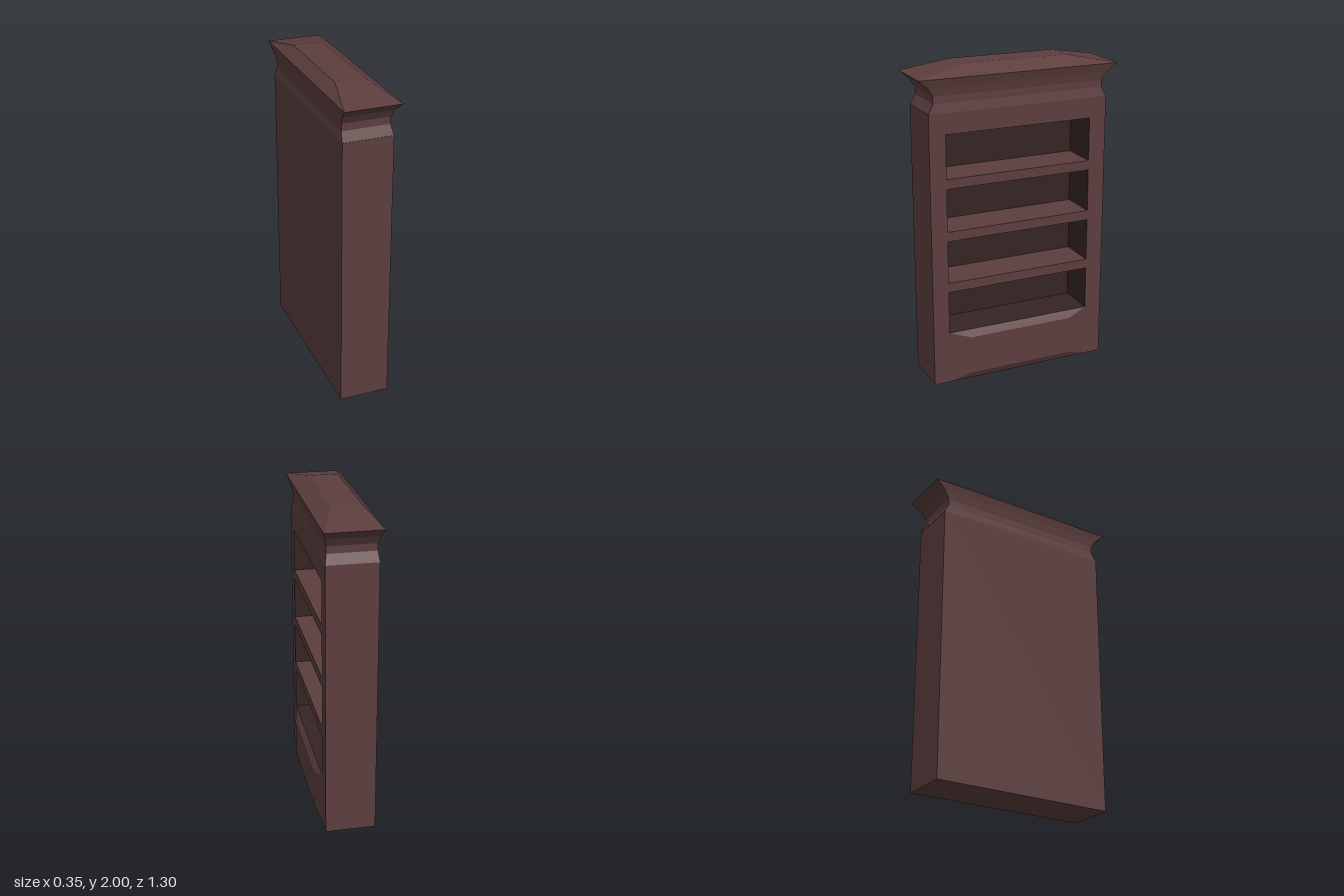
import * as THREE from 'three';

// Skins a series of four-cornered rings with flat faces; corners run
// anticlockwise when seen from the end the series moves towards.
function loft(rings, capStart, capEnd) {
  const pos = [];
  const quad = (a, b, c, d) => pos.push(...a, ...b, ...c, ...a, ...c, ...d);
  for (let r = 0; r < rings.length - 1; r++) {
    for (let i = 0; i < 4; i++) {
      const j = (i + 1) % 4;
      quad(rings[r][i], rings[r][j], rings[r + 1][j], rings[r + 1][i]);
    }
  }
  if (capStart) quad(...[...rings[0]].reverse());
  if (capEnd) quad(...rings[rings.length - 1]);
  const geo = new THREE.BufferGeometry();
  geo.setAttribute('position', new THREE.Float32BufferAttribute(pos, 3));
  geo.computeVertexNormals();
  return geo;
}

// Upright rectangle at a given x, and level rectangle at a given y
const ringX = (x, y0, y1, z0, z1) => [[x, y0, z0], [x, y1, z0], [x, y1, z1], [x, y0, z1]];
const ringY = (y, x0, x1, z) => [[x0, y, -z], [x0, y, z], [x1, y, z], [x1, y, -z]];

export function createModel() {
  const group = new THREE.Group();
  group.name = 'bookcase';
  const wood = new THREE.MeshStandardMaterial({ color: 0x5c3d3d });
  wood.name = 'reddish wood';
  const darkWood = new THREE.MeshStandardMaterial({ color: 0x362424 });
  darkWood.name = 'dark inner wood';

  const add = (name, geo, mat) => {
    const mesh = new THREE.Mesh(geo, mat);
    mesh.name = name;
    group.add(mesh);
    return mesh;
  };

  const back = -0.164, front = 0.148, inner = -0.1;
  const bodyTop = 1.735;
  const opening = [0.337, 1.607, -0.471, 0.482];

  // Carcass: back, sides and the front frame around the opening
  add('carcass', loft([
    ringX(back, 0, bodyTop, -0.582, 0.586),
    ringX(front, 0, bodyTop, -0.582, 0.586),
    ringX(front, ...opening),
  ], true, false), wood);

  // Dark lining of the recess, facing inwards
  add('recessLining', loft([
    ringX(front, ...opening),
    ringX(inner, ...opening),
  ], false, true), darkWood);

  // Shelves, flush with the front frame
  for (let i = 0; i < 3; i++) {
    const shelf = add('shelf', new THREE.BoxGeometry(front - inner, 0.061, 0.953), wood);
    shelf.position.set((front + inner) / 2, 0.6405 + i * 0.3315, 0.0055);
  }

  // Moulded cornice with a hipped top
  add('cornice', loft([
    ringY(bodyTop, back, front, 0.584),
    ringY(1.793, -0.157, 0.138, 0.553),
    ringY(1.837, -0.157, 0.138, 0.553),
    ringY(1.888, -0.165, 0.15, 0.585),
    ringY(1.942, -0.178, 0.169, 0.648),
    ringY(2, -0.114, 0.071, 0.343),
  ], true, true), wood);

  // Raised bevelled panel on the base
  add('basePanel', loft([
    ringX(front, 0, 0.337, -0.471, 0.482),
    ringX(0.176, 0.048, 0.292, -0.343, 0.347),
  ], false, true), wood);

  return group;
}
